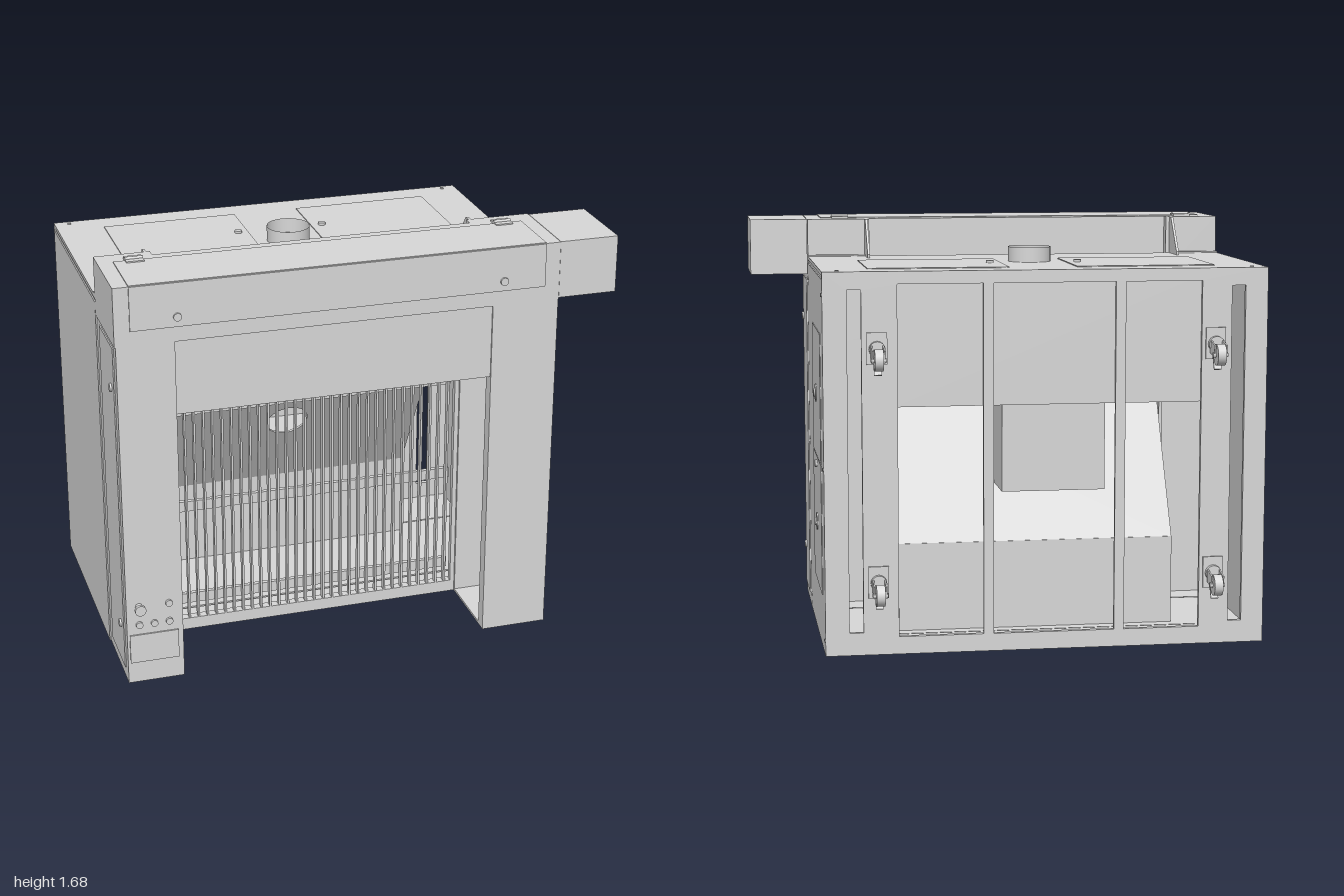
import * as THREE from 'three';

const steel = new THREE.MeshStandardMaterial({ color: 0xd8d8d8 });
steel.name = 'brushedSteel';
const steelSheet = new THREE.MeshStandardMaterial({ color: 0xd8d8d8, side: THREE.DoubleSide });
steelSheet.name = 'brushedSteelSheet';

export function createModel() {
  const root = new THREE.Group();
  root.name = 'filterBooth';

  const group = (name) => {
    const g = new THREE.Group();
    g.name = name;
    root.add(g);
    return g;
  };
  const add = (parent, name, geo, mat = steel) => {
    const m = new THREE.Mesh(geo, mat);
    m.name = name;
    parent.add(m);
    return m;
  };
  // box given by its limits on each axis
  const box = (parent, name, x0, x1, y0, y1, z0, z1) => {
    const m = add(parent, name, new THREE.BoxGeometry(x1 - x0, y1 - y0, z1 - z0));
    m.position.set((x0 + x1) / 2, (y0 + y1) / 2, (z0 + z1) / 2);
    return m;
  };
  // round part along an axis
  const disc = (parent, name, r, h, axis, x, y, z, sides = 16) => {
    const m = add(parent, name, new THREE.CylinderGeometry(r, r, h, sides));
    if (axis === 'x') m.rotation.z = Math.PI / 2;
    if (axis === 'z') m.rotation.x = Math.PI / 2;
    m.position.set(x, y, z);
    return m;
  };
  const outline = (T, points) => new T(points.map((p) => new THREE.Vector2(...p)));
  const rect = (T, x0, x1, y0, y1) => outline(T, [[x0, y0], [x1, y0], [x1, y1], [x0, y1]]);
  const extrude = (shape, depth) => new THREE.ExtrudeGeometry(shape, { depth, bevelEnabled: false, curveSegments: 24 });
  // plate drawn as (-z, y) points, standing across x
  const sidePlate = (parent, name, points, x) => {
    const m = add(parent, name, extrude(outline(THREE.Shape, points), 0.01));
    m.rotation.y = Math.PI / 2;
    m.position.x = x;
  };

  // cabinet shell
  const cabinet = group('cabinet');
  box(cabinet, 'rightWall', -0.995, -0.985, 0.01, 1.505, -0.55, 0.3);
  box(cabinet, 'rightSkin', -1, -0.995, 0.01, 1.49, -0.567, 0.297);
  box(cabinet, 'leftWall', 0.745, 0.755, 0.01, 1.505, -0.55, 0.3);
  box(cabinet, 'leftSkin', 0.755, 0.76, 0.01, 1.49, -0.567, 0.297);
  box(cabinet, 'roof', -1, 0.76, 1.505, 1.52, -0.55, 0.3);
  for (const [a, b] of [[-0.55, -0.327], [-0.32, 0.155], [0.165, 0.3]])
    box(cabinet, 'floorPanel', -0.985, 0.745, 0.01, 0.03, a, b);
  box(cabinet, 'frontTopWall', -0.985, 0.745, 1.13, 1.505, 0.285, 0.3);
  box(cabinet, 'frontRightWall', -0.985, -0.765, 0.03, 1.13, 0.285, 0.3);
  box(cabinet, 'frontLeftWall', 0.485, 0.745, 0.03, 1.13, 0.285, 0.3);

  // back frame with the main opening and two side slots
  const back = rect(THREE.Shape, -1, 0.76, 0.01, 1.52);
  for (const [a, b, c, d] of [[-0.735, 0.47, 0.08, 1.47], [-0.91, -0.855, 0.1, 1.45], [0.61, 0.665, 0.1, 1.45]])
    back.holes.push(rect(THREE.Path, a, b, c, d));
  add(cabinet, 'backFrame', extrude(back, 0.02)).position.z = -0.57;
  box(cabinet, 'backUpperPanel', -0.76, 0.48, 0.99, 1.5, -0.555, -0.545);
  for (const x of [-0.41, 0.114]) box(cabinet, 'backBar', x - 0.02, x + 0.02, 0.08, 1.47, -0.57, -0.555);

  // inner baffle: upright lower plate and a sloped plate with a round outlet
  const baffle = group('baffle');
  box(baffle, 'baffleLowerPlate', -0.69, 0.44, 0.03, 0.39, -0.27, -0.26);
  const slope = rect(THREE.Shape, -0.69, 0.44, 0, 0.98);
  const outlet = new THREE.Path();
  outlet.absarc(-0.14, 0.395, 0.087, 0, Math.PI * 2, true);
  slope.holes.push(outlet);
  const slopeMesh = add(baffle, 'baffleSlope', extrude(slope, 0.008));
  slopeMesh.position.set(0, 0.39, -0.267);
  slopeMesh.rotation.x = Math.PI / 6;

  // duct behind the outlet, following the slope
  box(baffle, 'ductBack', -0.39, 0.03, 0.61, 1.5, -0.355, -0.345);
  box(baffle, 'ductBottom', -0.39, 0.03, 0.61, 0.62, -0.345, -0.14);
  for (const x of [-0.39, 0.02])
    sidePlate(baffle, 'ductSide', [[0.345, 0.62], [0.138, 0.62], [-0.165, 1.145], [-0.165, 1.5], [0.345, 1.5]], x);

  // front grille
  const grille = group('grille');
  for (let i = 0; i < 31; i++) {
    const x = -0.7 + i * 0.0382;
    box(grille, 'grilleBar', x - 0.004, x + 0.004, 0.06, 1.04, 0.272, 0.298);
  }
  for (const y of [0.135, 0.555, 0.98]) box(grille, 'grilleRail', -0.745, 0.465, y - 0.022, y + 0.022, 0.25, 0.268);
  box(grille, 'grilleTopFrame', -0.765, 0.485, 1.065, 1.13, 0.275, 0.3);
  box(grille, 'grilleTopRail', -0.745, 0.465, 1.04, 1.065, 0.265, 0.295);
  box(grille, 'grilleSill', -0.765, 0.485, 0.03, 0.06, 0.265, 0.3);
  for (const x of [-0.765, 0.472]) box(grille, 'grilleSideFrame', x, x + 0.013, 0.06, 1.065, 0.275, 0.3);

  // pillars: sheet shells, open on the inner side
  const pillar = (name, outer, inner) => {
    const g = group(name);
    const s = Math.sign(outer - inner);
    const span = (p, q) => [Math.min(p, q), Math.max(p, q)];
    const full = span(outer, inner);
    box(g, 'pillarFront', ...full, 0.01, 1.44, 0.64, 0.65);
    box(g, 'pillarSide', ...span(outer, outer - s * 0.01), 0.01, 1.44, 0.31, 0.64);
    box(g, 'pillarBottom', ...full, 0.01, 0.02, 0.3, 0.64);
    box(g, 'pillarBack', ...full, 0.02, 1.44, 0.3, 0.31);
    box(g, 'pillarFlange', ...span(inner, inner + s * 0.008), 0.02, 1.44, 0.6, 0.64);
    box(g, 'pillarDoor', ...span(outer, outer + s * 0.005), 0.06, 1.42, 0.36, 0.61);
    for (const y of [0.235, 1.245]) disc(g, 'doorLatch', 0.016, 0.016, 'x', outer + s * 0.005, y, 0.56);
  };
  pillar('rightPillar', -0.995, -0.77);
  pillar('leftPillar', 0.76, 0.49);
  box(root, 'frontUpperPanel', -0.77, 0.49, 1.14, 1.44, 0.625, 0.643);

  // header with extension, cover plate, hinges and gussets
  const header = group('header');
  box(header, 'headerBeam', -1, 0.76, 1.44, 1.675, 0.34, 0.653);
  box(header, 'headerExtension', 0.762, 1, 1.445, 1.675, 0.31, 0.65);
  box(header, 'headerRightEnd', -1, -0.78, 1.44, 1.675, 0.3, 0.34);
  box(header, 'headerLeftEnd', 0.5, 0.76, 1.44, 1.675, 0.3, 0.34);
  box(header, 'headerCover', -0.94, 0.7, 1.5, 1.675, 0.653, 0.658);
  box(header, 'headerLid', -0.94, 0.7, 1.675, 1.679, 0.385, 0.653);
  for (const x of [-0.76, 0.53]) disc(header, 'coverLatch', 0.016, 0.012, 'z', x, 1.54, 0.66);
  for (const x of [-0.86, 0.62]) {
    box(header, 'hingeLeaf', x - 0.035, x + 0.035, 1.675, 1.684, 0.35, 0.415);
    disc(header, 'hingePin', 0.007, 0.07, 'x', x, 1.685, 0.383, 10);
  }
  for (const x of [-0.805, 0.51])
    sidePlate(header, 'gusset', [[-0.305, 1.52], [-0.155, 1.52], [-0.155, 1.535], [-0.27, 1.675], [-0.305, 1.675]], x);
  for (const [a, b] of [[-1, -0.8], [0.515, 0.76]]) box(header, 'gussetFoot', a, b, 1.52, 1.526, 0.27, 0.305);

  // roof hatches and exhaust collar
  const roof = group('roofFittings');
  for (const [a, b, k] of [[-0.81, -0.255, -0.297], [0.015, 0.575, 0.06]]) {
    box(roof, 'roofHatch', a, b, 1.52, 1.524, -0.455, 0.005);
    disc(roof, 'hatchKnob', 0.015, 0.012, 'y', k, 1.528, -0.225);
  }
  const collar = add(roof, 'exhaustCollar', new THREE.CylinderGeometry(0.087, 0.087, 0.06, 32, 1, true), steelSheet);
  collar.position.set(-0.12, 1.55, -0.1);
  for (const x of [-0.94, 0.7]) disc(roof, 'roofScrew', 0.008, 0.006, 'y', x, 1.521, -0.54, 8);

  // service doors on the left side
  const doors = group('serviceDoors');
  for (const [a, b, k] of [[0.23, 0.748, 0.485], [0.754, 1.27, 1.01]]) {
    box(doors, 'serviceDoor', 0.76, 0.764, a, b, -0.45, 0.01);
    disc(doors, 'handlePlate', 0.036, 0.006, 'x', 0.766, k, -0.22, 8);
    disc(doors, 'handleHub', 0.017, 0.014, 'x', 0.769, k, -0.22);
  }
  disc(doors, 'doorLock', 0.015, 0.012, 'x', 0.767, 0.722, -0.22);
  for (const y of [0.07, 0.75, 1.43])
    for (const z of [-0.55, 0.285]) disc(doors, 'wallScrew', 0.008, 0.006, 'x', 0.761, y, z, 8);

  // control buttons at the foot of the right pillar
  const controls = group('controls');
  box(controls, 'controlCover', -0.985, -0.79, 0.1, 0.222, 0.65, 0.656);
  disc(controls, 'stopButtonStem', 0.014, 0.04, 'z', -0.945, 0.345, 0.665);
  disc(controls, 'stopButton', 0.022, 0.014, 'z', -0.945, 0.345, 0.683, 24);
  for (const [x, y] of [[-0.945, 0.265], [-0.885, 0.265], [-0.825, 0.265], [-0.825, 0.345]])
    disc(controls, 'button', 0.014, 0.012, 'z', x, y, 0.654);

  // casters on the back, wheel axles along x
  for (const x of [-0.79, 0.55])
    for (const y of [0.265, 1.185]) {
      const c = group('caster');
      box(c, 'casterPlate', x - 0.04, x + 0.04, y - 0.025, y + 0.1, -0.578, -0.57);
      disc(c, 'swivel', 0.032, 0.02, 'z', x, y + 0.035, -0.587);
      for (const s of [-1, 1]) {
        const fork = box(c, 'fork', x + s * 0.023 - 0.003, x + s * 0.023 + 0.003, y - 0.005, y + 0.045, -0.66, -0.59);
        fork.rotation.x = -0.2;
      }
      disc(c, 'wheel', 0.042, 0.034, 'x', x, y, -0.648, 24);
      disc(c, 'axle', 0.01, 0.06, 'x', x, y, -0.648, 10);
      const lever = box(c, 'brakeLever', x - 0.015, x + 0.015, y - 0.065, y - 0.01, -0.604, -0.596);
      lever.rotation.x = 0.45;
    }

  return root;
}
